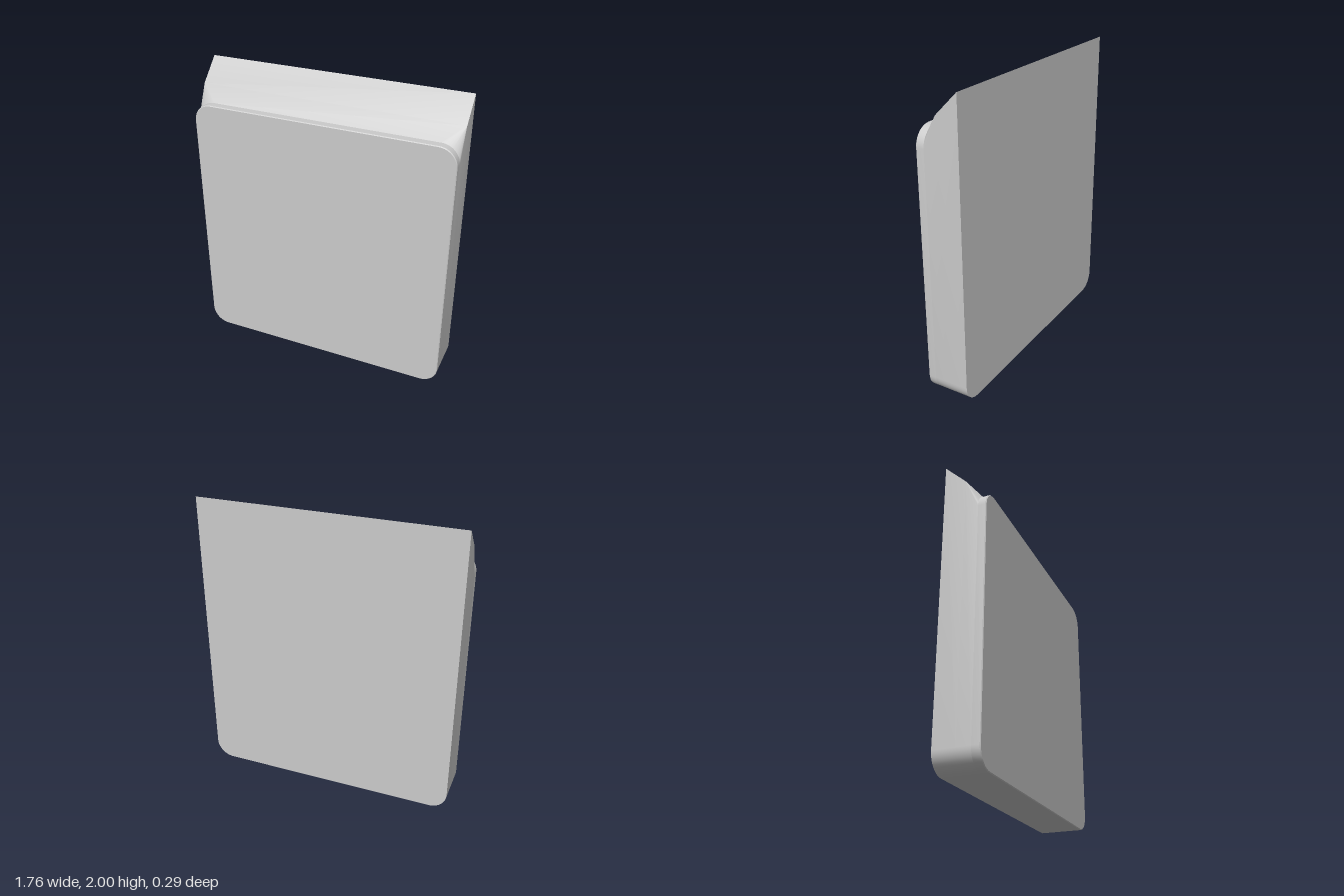
import * as THREE from 'three';
import { toCreasedNormals } from 'three/addons/utils/BufferGeometryUtils.js';

const HALF_W = 0.88, PANEL_TOP = 1.765, RADIUS = 0.12, STEPS = 10;
const BACK = -0.145, APEX = 0, STEP = 0.09, FRONT = 0.145, CHAMFER = 0.005;

// Counter-clockwise rounded square at depth z; the upper corners become
// sharp points at height sharpTop when that is given.
function ring(z, inset = 0, sharpTop = null) {
  const points = [];
  const cx = HALF_W - RADIUS, r = RADIUS - inset;
  const corners = [[cx, RADIUS, -0.5], [cx, PANEL_TOP - RADIUS, 0], [-cx, PANEL_TOP - RADIUS, 0.5], [-cx, RADIUS, 1]];
  for (const [x, y, start] of corners) {
    for (let i = 0; i <= STEPS; i++) {
      const a = (start + 0.5 * i / STEPS) * Math.PI;
      const sharp = sharpTop !== null && y > 1;
      points.push(sharp
        ? new THREE.Vector3(Math.sign(x) * HALF_W, sharpTop, z)
        : new THREE.Vector3(x + r * Math.cos(a), y + r * Math.sin(a), z));
    }
  }
  return points;
}

// Skins rings ordered front to back, closing whichever ends are asked for.
function loft(rings, capFront, capBack) {
  const positions = [];
  const triangle = (a, b, c) => {
    if (new THREE.Triangle(a, b, c).getArea() < 1e-8) return;
    for (const p of [a, b, c]) positions.push(p.x, p.y, p.z);
  };
  const n = rings[0].length;
  const first = rings[0], last = rings[rings.length - 1];
  for (let j = 0; j < n; j++) {
    const k = (j + 1) % n;
    for (let i = 0; i < rings.length - 1; i++) {
      const f = rings[i], b = rings[i + 1];
      triangle(f[j], b[j], f[k]);
      triangle(f[k], b[j], b[k]);
    }
    if (capFront) triangle(new THREE.Vector3(0, 0.9, first[0].z), first[j], first[k]);
    if (capBack) triangle(new THREE.Vector3(0, 0.9, last[0].z), last[k], last[j]);
  }
  const geometry = new THREE.BufferGeometry();
  geometry.setAttribute('position', new THREE.Float32BufferAttribute(positions, 3));
  return toCreasedNormals(geometry, Math.PI / 7);
}

export function createModel() {
  const group = new THREE.Group();
  const material = new THREE.MeshStandardMaterial({ color: 0xcccccc });
  const add = (name, geometry) => {
    const mesh = new THREE.Mesh(geometry, material);
    mesh.name = name;
    group.add(mesh);
  };

  // Rounded front panel with a fine chamfer around its face
  add('frontPanel', loft([ring(FRONT, CHAMFER), ring(FRONT - CHAMFER), ring(STEP)], true, false));

  // Body with a 45 degree top; its upper corners blend from round to sharp
  const slope = z => PANEL_TOP + STEP - z;
  add('slopedBody', loft([ring(STEP), ring(APEX, 0, slope(APEX)), ring(BACK, 0, slope(BACK))], false, true));

  return group;
}
